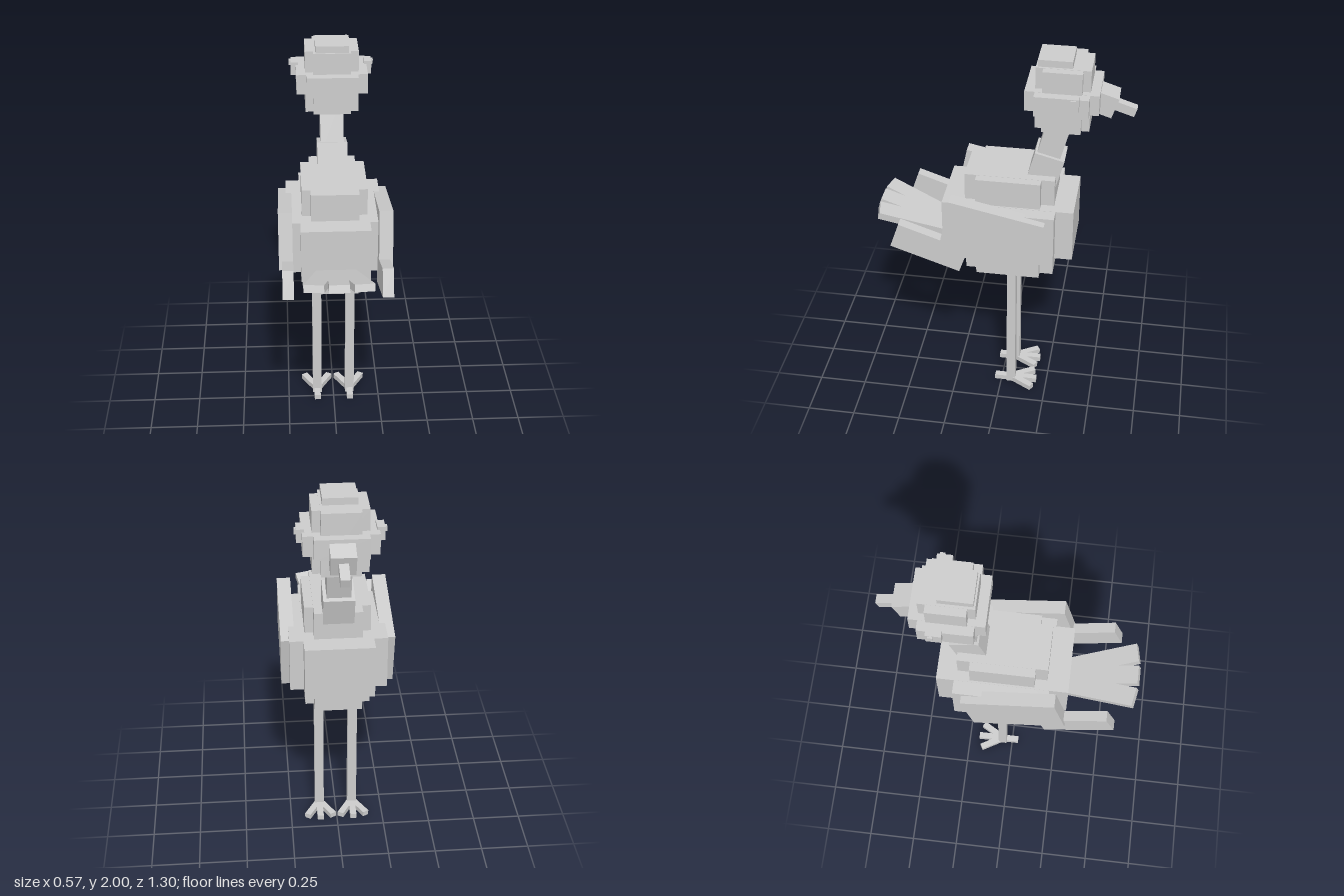
import * as THREE from 'three';

const deg = THREE.MathUtils.degToRad;

export function createModel() {
  const model = new THREE.Group();
  const grey = new THREE.MeshStandardMaterial({ color: 0xcccccc });
  grey.name = 'light grey';

  // Box by centre and size, pitched about x
  function block(parent, name, [w, h, d], [x, y, z], pitch = 0) {
    const mesh = new THREE.Mesh(new THREE.BoxGeometry(w, h, d), grey);
    mesh.name = name;
    mesh.position.set(x, y, z);
    mesh.rotation.x = deg(pitch);
    parent.add(mesh);
    return mesh;
  }

  // Centred slab by half width, height range and depth range
  function slab(parent, name, hw, y0, y1, z0, z1) {
    return block(parent, name, [2 * hw, y1 - y0, z1 - z0], [0, (y0 + y1) / 2, (z0 + z1) / 2]);
  }

  function part(name) {
    const g = new THREE.Group();
    g.name = name;
    model.add(g);
    return g;
  }

  // Body: stepped tiers, each a cross of two slabs
  const body = part('body');
  slab(body, 'bodyCoreWide', 0.166, 0.783, 1.355, -0.205, 0.122);
  slab(body, 'bodyCoreLong', 0.121, 0.782, 1.356, -0.272, 0.183);
  slab(body, 'bodyMiddleWide', 0.245, 0.927, 1.21, -0.285, 0.198);
  slab(body, 'bodyMiddleLong', 0.175, 0.926, 1.211, -0.375, 0.293);

  // Neck
  const neck = part('neck');
  block(neck, 'lowerNeck', [0.155, 0.24, 0.153], [0, 1.348, -0.207], -15);
  block(neck, 'upperNeck', [0.12, 0.32, 0.118], [0, 1.56, -0.257], -15);

  // Head: stepped like the body
  const head = part('head');
  slab(head, 'headCoreWide', 0.135, 1.641, 1.964, -0.39, -0.2);
  slab(head, 'headCoreLong', 0.095, 1.64, 1.965, -0.428, -0.163);
  slab(head, 'headBandWide', 0.18, 1.751, 1.854, -0.428, -0.165);
  slab(head, 'headBandLong', 0.13, 1.75, 1.855, -0.473, -0.115);
  slab(head, 'crown', 0.083, 1.96, 2.0, -0.338, -0.172);
  block(head, 'beakBase', [0.12, 0.11, 0.16], [0, 1.78, -0.469], -18);
  block(head, 'beakTip', [0.046, 0.046, 0.16], [0, 1.745, -0.566], -18);

  for (const [side, s] of [['left', 1], ['right', -1]]) {
    // Eyes
    block(head, side + 'Eye', [0.038, 0.068, 0.075], [s * 0.187, 1.834, -0.345]);
    block(head, side + 'Pupil', [0.02, 0.025, 0.025], [s * 0.206, 1.852, -0.357]);

    // Wings
    const wing = part(side + 'Wing');
    block(wing, 'wingMain', [0.07, 0.297, 0.483], [s * 0.251, 1.093, 0.027], -12);
    block(wing, 'wingTip', [0.055, 0.143, 0.375], [s * 0.2425, 0.987, 0.346], -19);

    // Legs, with three toes in front and one behind
    const leg = part(side + 'Leg');
    block(leg, 'shank', [0.049, 0.79, 0.047], [s * 0.09, 0.395, -0.055]);
    for (const angle of [-30, 0, 30]) {
      const a = deg(angle);
      const toe = block(leg, 'frontToe', [0.034, 0.028, 0.14],
        [s * 0.09 - Math.sin(a) * 0.07, 0.014, -0.055 - Math.cos(a) * 0.07]);
      toe.rotation.y = a;
    }
    block(leg, 'backToe', [0.034, 0.028, 0.09], [s * 0.09, 0.014, -0.01]);
  }

  // Tail: three feathers fanned from one pivot
  const tail = part('tail');
  tail.position.set(0, 0.893, 0.07);
  tail.rotation.x = deg(-19.4);
  for (const angle of [-11.5, 0, 11.5]) {
    const a = deg(angle);
    const feather = block(tail, 'tailFeather', [0.1, 0.038, 0.43],
      [Math.sin(a) * 0.395, 0, Math.cos(a) * 0.395]);
    feather.rotation.y = a;
  }

  return model;
}
